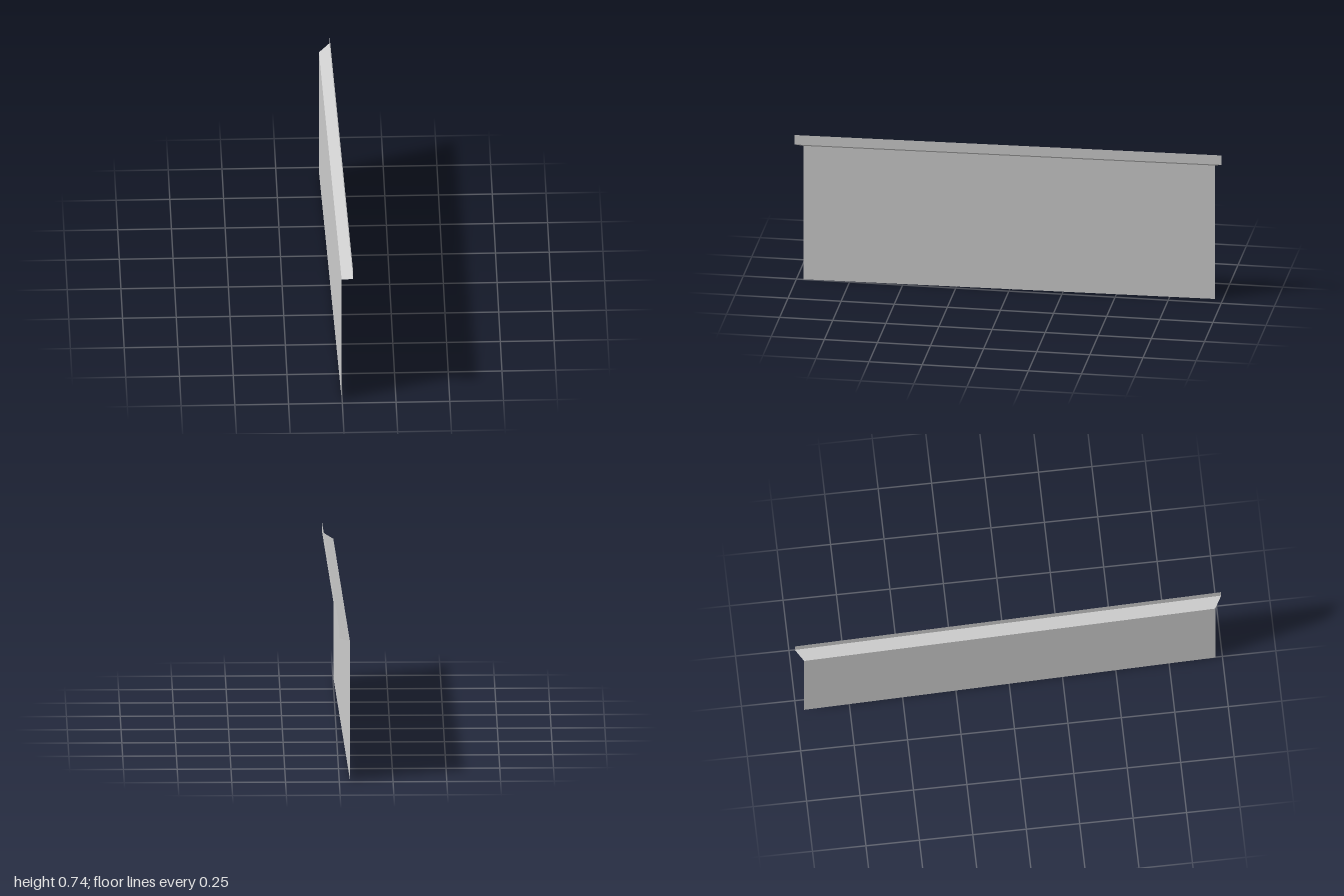
import * as THREE from 'three';

// Plan lines (back end and front end) of the lower wall and of the offset lip
const wallLine = [[-0.05, -0.962], [-0.002, 0.967]];
const lipLine = [[0, -1], [0.05, 1]];

// Thin flat panel spanning two plan lines at two heights
function panel(name, material, lowLine, lowY, highLine, highY) {
  const [a, b] = lowLine.map(([x, z]) => [x, lowY, z]);
  const [c, d] = highLine.map(([x, z]) => [x, highY, z]);
  const geometry = new THREE.BufferGeometry();
  geometry.setAttribute('position', new THREE.Float32BufferAttribute([...a, ...c, ...b, ...b, ...c, ...d], 3));
  geometry.computeVertexNormals();
  const mesh = new THREE.Mesh(geometry, material);
  mesh.name = name;
  return mesh;
}

export function createModel() {
  const group = new THREE.Group();
  group.name = 'wallPanel';
  const grey = new THREE.MeshStandardMaterial({ color: 0xcccccc, flatShading: true, side: THREE.DoubleSide });
  group.add(
    panel('wall', grey, wallLine, 0, wallLine, 0.665), // tall main sheet
    panel('slopedLedge', grey, wallLine, 0.665, lipLine, 0.69), // step out to the lip
    panel('lip', grey, lipLine, 0.69, lipLine, 0.737), // narrow upright strip
  );
  return group;
}
